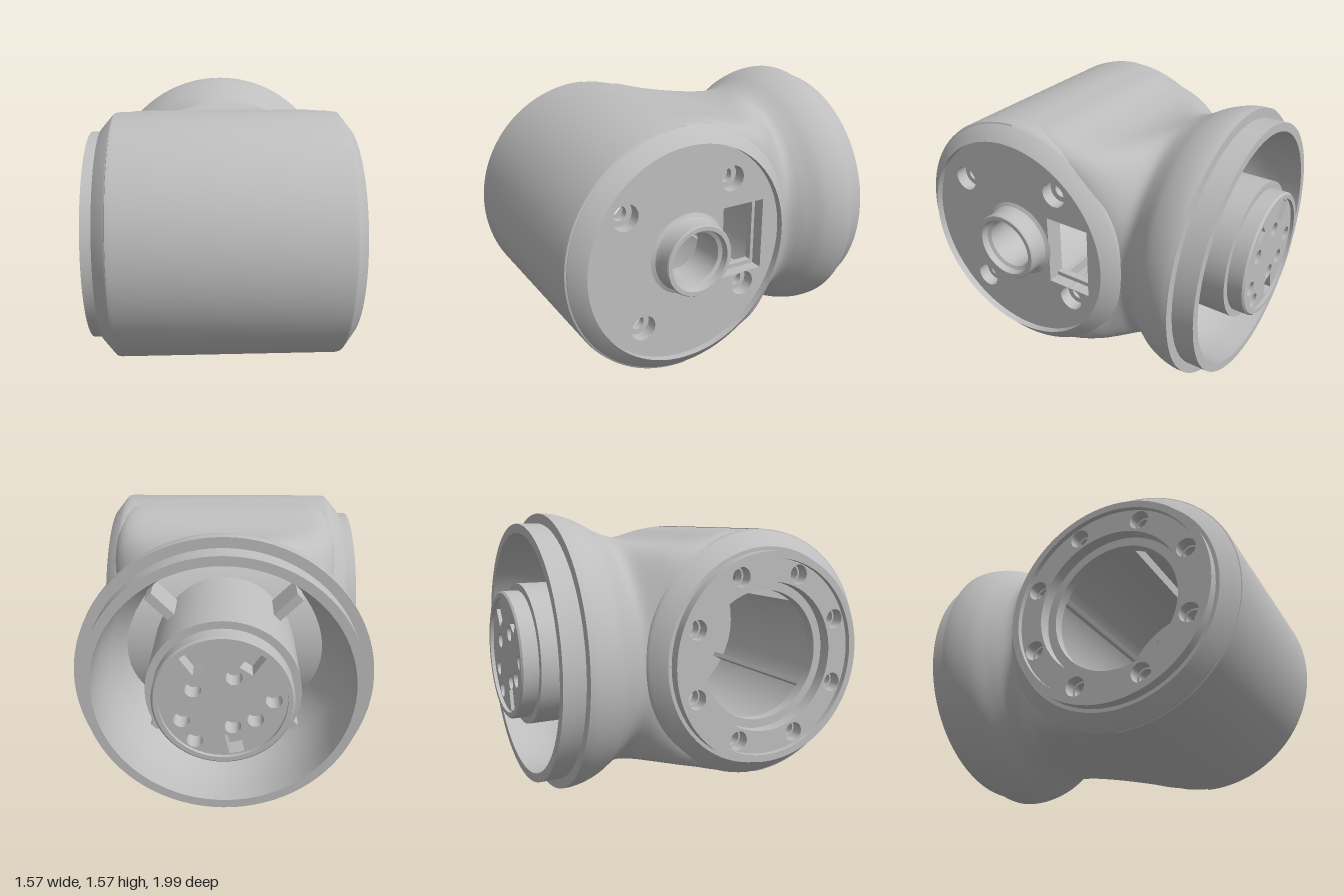
import * as THREE from 'three';
import { toCreasedNormals } from 'three/addons/utils/BufferGeometryUtils.js';

const CY = 0.79, CZ = 0.29; // barrel axis height and depth
const grey = new THREE.MeshStandardMaterial({ color: 0xbebebe, side: THREE.DoubleSide });
grey.name = 'housing grey';

export function createModel() {
  const model = new THREE.Group();
  const barrel = new THREE.Group(), flange = new THREE.Group();
  barrel.name = 'barrelHousing';
  barrel.position.set(0, CY, CZ);
  flange.name = 'rearFlange';
  flange.position.set(0, CY, 0);
  model.add(barrel, flange);

  const add = (parent, name, geo, crease = 0.5) => {
    const mesh = new THREE.Mesh(crease ? toCreasedNormals(geo, crease) : geo, grey);
    mesh.name = name;
    parent.add(mesh);
    return mesh;
  };
  const lathe = (pts, start = 0, sweep = Math.PI * 2) =>
    new THREE.LatheGeometry(pts.map(p => new THREE.Vector2(...p)), 80, start, sweep);
  const disc = (r, holes) => {
    const shape = new THREE.Shape().absarc(0, 0, r, 0, Math.PI * 2);
    for (const [x, y, hr] of holes) shape.holes.push(new THREE.Path().absarc(x, y, hr, 0, Math.PI * 2, true));
    return shape;
  };
  const polygon = pts => new THREE.Path(pts.map(p => new THREE.Vector2(...p)));
  const slab = (shape, depth) =>
    new THREE.ExtrudeGeometry(shape, { depth, bevelEnabled: false, curveSegments: 32 });

  // Hollow barrel, turned around the x axis: [radius, x]
  add(barrel, 'barrelShell', lathe([
    [0.55, -0.60], [0.55, -0.76], [0.59, -0.76], [0.59, -0.70],
    [0.61, -0.70], [0.685, -0.635], [0.696, -0.62], [0.70, -0.59], [0.70, 0.58], [0.696, 0.61],
    [0.685, 0.63], [0.61, 0.69], [0.61, 0.54], [0.56, 0.54], [0.56, -0.60], [0.55, -0.60],
  ]).rotateZ(-Math.PI / 2));

  // Thin cover over the front half of the barrel
  add(barrel, 'frontCover', lathe([
    [0.69, -0.625], [0.699, -0.622], [0.703, -0.60], [0.703, 0.60], [0.699, 0.618], [0.69, 0.622],
  ], -Math.PI / 2, Math.PI).rotateZ(-Math.PI / 2));

  // Left end plate: countersunk screw holes, central bore and cable window
  const screws = [[0.66, 1.075], [0.01, 1.16], [0.57, 0.42], [-0.08, 0.51]];
  const endPlate = (screwR, z0, z1, h, depth) => {
    const shape = disc(0.612, [[0, 0, 0.15], ...screws.map(([z, y]) => [CZ - z, y - CY, screwR])]);
    shape.holes.push(polygon([[CZ - z0, -h], [CZ - z0, h], [CZ - z1, h], [CZ - z1, -h]]));
    return slab(shape, depth).rotateY(Math.PI / 2);
  };
  add(barrel, 'endPlateFace', endPlate(0.072, 0.065, -0.205, 0.21, 0.07)).position.x = 0.58;
  add(barrel, 'endPlateBacking', endPlate(0.04, 0.065, -0.185, 0.185, 0.04)).position.x = 0.54;
  add(barrel, 'boreCollar', lathe([
    [0.235, 0.648], [0.21, 0.66], [0.20, 0.685], [0.20, 0.76], [0.195, 0.767], [0.172, 0.767],
    [0.165, 0.73], [0.145, 0.72], [0.145, 0.52], [0.19, 0.52], [0.19, 0.60],
  ]).rotateZ(-Math.PI / 2));

  // Right end ring: eight through bolt holes and a narrower inner lip
  const bolts = [];
  for (let i = 0; i < 8; i++) {
    const a = (i + 0.5) * Math.PI / 4;
    bolts.push([Math.cos(a) * 0.49, Math.sin(a) * 0.49]);
  }
  const ring = (bore, boltR, depth) =>
    slab(disc(0.552, [[0, 0, bore], ...bolts.map(b => [...b, boltR])]), depth).rotateY(Math.PI / 2);
  add(barrel, 'boltRing', ring(0.42, 0.055, 0.07)).position.x = -0.73;
  add(barrel, 'boltRingLip', ring(0.37, 0.045, 0.06)).position.x = -0.66;

  // Stiffening ribs inside the barrel
  for (let i = 0; i < 6; i++) {
    const a = Math.PI / 6 + i * Math.PI / 3;
    const rib = add(barrel, 'innerRib', new THREE.BoxGeometry(1.1, 0.09, 0.03));
    rib.position.set(0, Math.sin(a) * 0.53, Math.cos(a) * 0.53);
    rib.rotation.x = Math.PI / 2 - a;
  }

  add(flange, 'blendedNeck', neckGeometry(), 0);

  // Rear rim and bowl, turned around the z axis: [radius, distance to the back]
  add(flange, 'rimAndBowl', lathe([
    [0.785, 0.765], [0.785, 0.78], [0.73, 0.78], [0.73, 0.90], [0.68, 0.90], [0.68, 0.78],
    [0.67, 0.68], [0.635, 0.57], [0.57, 0.47], [0.545, 0.35],
  ]).rotateX(-Math.PI / 2));

  // Central connector
  add(flange, 'connectorBody', lathe([
    [0.40, 0.30], [0.40, 0.905], [0.36, 0.905], [0.36, 0.99], [0.35, 1.0], [0.325, 1.0],
    [0.325, 0.88], [0, 0.88],
  ]).rotateX(-Math.PI / 2));
  const pins = [[0.21, -0.115], [0.145, -0.235], [-0.055, 0.13], [-0.05, -0.15], [-0.165, -0.11],
    [-0.255, 0], [0.15, 0.06]].map(([x, y]) => [x, y, 0.042]);
  const face = disc(0.327, pins);
  for (const a of [0.95, 2.18, 4.48]) { // radial key slots
    const c = Math.cos(a), s = Math.sin(a);
    face.holes.push(polygon([[0.2, -0.04], [0.2, 0.04], [0.315, 0.04], [0.315, -0.04]]
      .map(([r, w]) => [c * r - s * w, s * r + c * w])));
  }
  add(flange, 'connectorFace', slab(face, 0.1)).position.z = -0.98;

  // Webs holding the connector in the bowl
  for (let i = 0; i < 4; i++) {
    const a = Math.PI / 4 + i * Math.PI / 2;
    const web = add(flange, 'connectorWeb', new THREE.BoxGeometry(0.19, 0.05, 0.2));
    web.position.set(Math.cos(a) * 0.475, Math.sin(a) * 0.475, -0.5);
    web.rotation.z = a;
  }
  return model;
}

// Rounded-box to circle loft along z; faces inside the barrel are left out
function neckGeometry() {
  const rows = 72, cols = 144, pos = [], index = [];
  const path = new THREE.CatmullRomCurve3([ // z, half width, half height
    [0.28, 0.62, 0.70], [0.10, 0.637, 0.687], [-0.08, 0.65, 0.645], [-0.22, 0.645, 0.63],
    [-0.33, 0.625, 0.64], [-0.42, 0.62, 0.665], [-0.51, 0.68, 0.702], [-0.60, 0.745, 0.748],
    [-0.68, 0.775, 0.775], [-0.74, 0.785, 0.785], [-0.78, 0.785, 0.785],
  ].map(p => new THREE.Vector3(...p)));
  for (let i = 0; i <= rows; i++) {
    const { x: z, y: a, z: b } = path.getPoint(i / rows);
    const n = 2 + 12 * THREE.MathUtils.smoothstep(z, -0.5, 0.15) ** 1.2;
    for (let j = 0; j < cols; j++) {
      const t = j / cols * Math.PI * 2, c = Math.cos(t), s = Math.sin(t);
      const r = (Math.abs(c / a) ** n + Math.abs(s / b) ** n) ** (-1 / n);
      pos.push(c * r, s * r, z);
    }
  }
  const inside = k => Math.hypot(pos[k * 3 + 1], pos[k * 3 + 2] - CZ) < 0.62;
  for (let i = 0; i < rows; i++) for (let j = 0; j < cols; j++) {
    const p = i * cols + j, q = i * cols + (j + 1) % cols;
    if ([p, q, p + cols, q + cols].some(inside)) continue;
    index.push(p, p + cols, q, q, p + cols, q + cols);
  }
  const geo = new THREE.BufferGeometry();
  geo.setAttribute('position', new THREE.Float32BufferAttribute(pos, 3));
  geo.setIndex(index);
  geo.computeVertexNormals();
  return geo;
}
